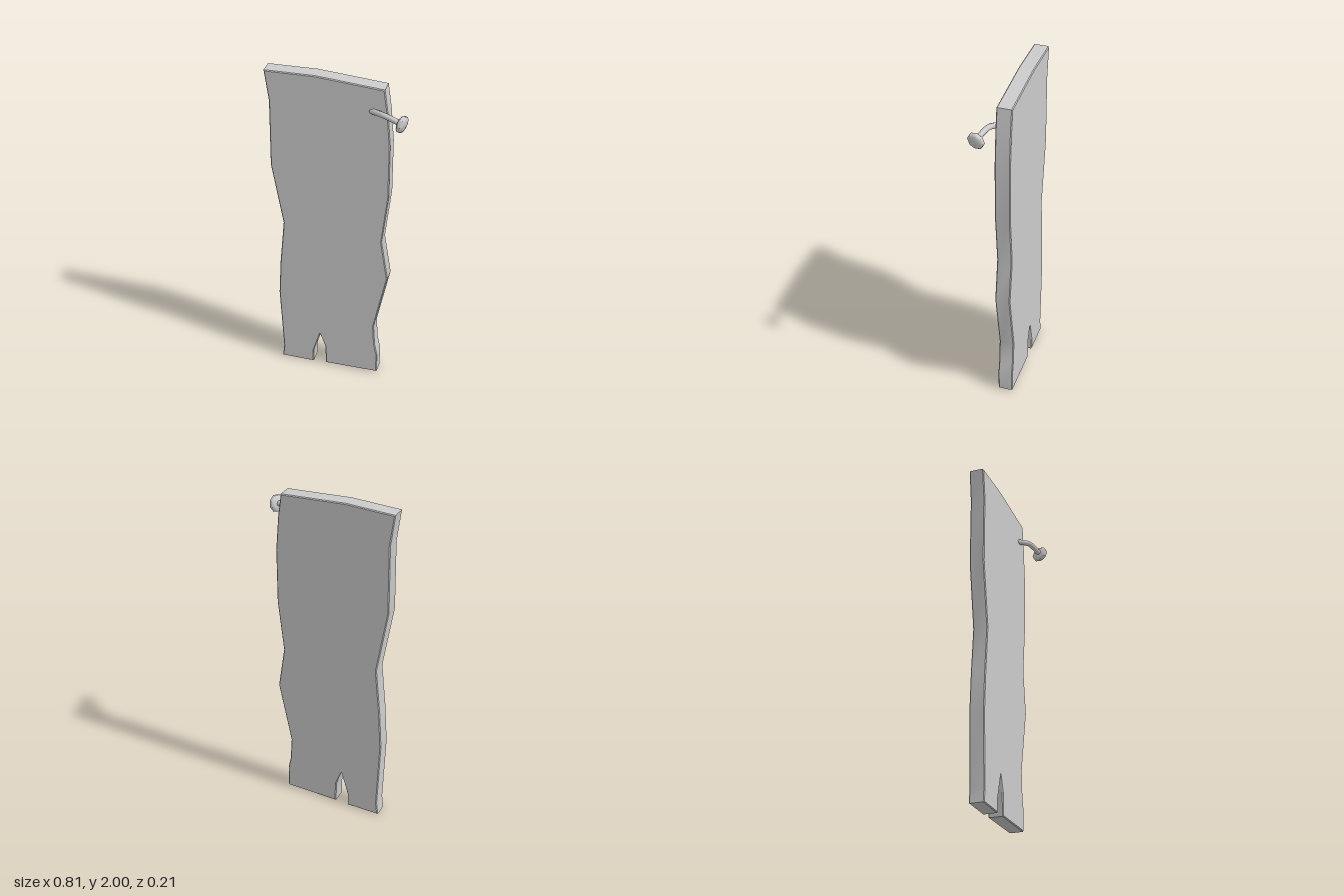
import * as THREE from 'three';
import { toCreasedNormals } from 'three/addons/utils/BufferGeometryUtils.js';

const material = new THREE.MeshStandardMaterial({ color: 0xcccccc });

function part(name, geometry, crease) {
  const mesh = new THREE.Mesh(toCreasedNormals(geometry, crease), material);
  mesh.name = name;
  return mesh;
}

// Weathered board with wavy sides and a split at the bottom
function createPlank() {
  const outline = [
    [-0.345, 0], [-0.145, 0], [-0.145, 0.08], [-0.103, 0.23], [-0.07, 0.14], [-0.065, 0.005],
    [0.257, 0.01], [0.257, 0.145], [0.241, 0.22], [0.232, 0.36], [0.308, 0.735], [0.268, 0.99],
    [0.302, 1.3], [0.302, 1.63], [0.285, 1.83], [0.265, 1.972], [-0.12, 2], [-0.405, 1.993],
    [-0.38, 1.81], [-0.382, 1.4], [-0.316, 1.015], [-0.342, 0.735], [-0.355, 0.5], [-0.336, 0.08],
  ].map(([x, y]) => new THREE.Vector2(x, y));
  const bevel = 0.005;
  const front = -0.018, back = -0.105;
  const geometry = new THREE.ExtrudeGeometry(new THREE.Shape(outline), {
    depth: front - back - 2 * bevel,
    bevelEnabled: true, bevelSegments: 1,
    bevelSize: bevel, bevelThickness: bevel, bevelOffset: -bevel,
  });
  geometry.translate(0, 0, back + bevel);
  return part('plank', geometry, 0.5);
}

// Bent nail driven into the front face near the upper corner
function createNail() {
  const nail = new THREE.Group();
  nail.name = 'nail';
  const bend = [
    [0.15, 1.825, -0.06], [0.215, 1.837, -0.012], [0.265, 1.847, 0.022],
    [0.31, 1.842, 0.037], [0.375, 1.827, 0.054],
  ].map((p) => new THREE.Vector3(...p));
  const curve = new THREE.CatmullRomCurve3(bend);
  nail.add(part('nailShank', new THREE.TubeGeometry(curve, 12, 0.016, 8), 1));

  // Eight-sided head with chamfered rims, square to the end of the shank
  const profile = [[0, -0.017], [0.038, -0.017], [0.049, -0.008], [0.049, 0.008], [0.038, 0.017], [0, 0.017]]
    .map(([r, y]) => new THREE.Vector2(r, y));
  const head = part('nailHead', new THREE.LatheGeometry(profile, 8, Math.PI / 8), 0.9);
  head.position.set(0.379, 1.826, 0.054);
  head.quaternion.setFromUnitVectors(
    new THREE.Vector3(0, 1, 0), new THREE.Vector3(0.95, -0.2, 0.24).normalize());
  nail.add(head);
  return nail;
}

export function createModel() {
  const model = new THREE.Group();
  model.name = 'plankWithNail';
  model.add(createPlank(), createNail());
  return model;
}
